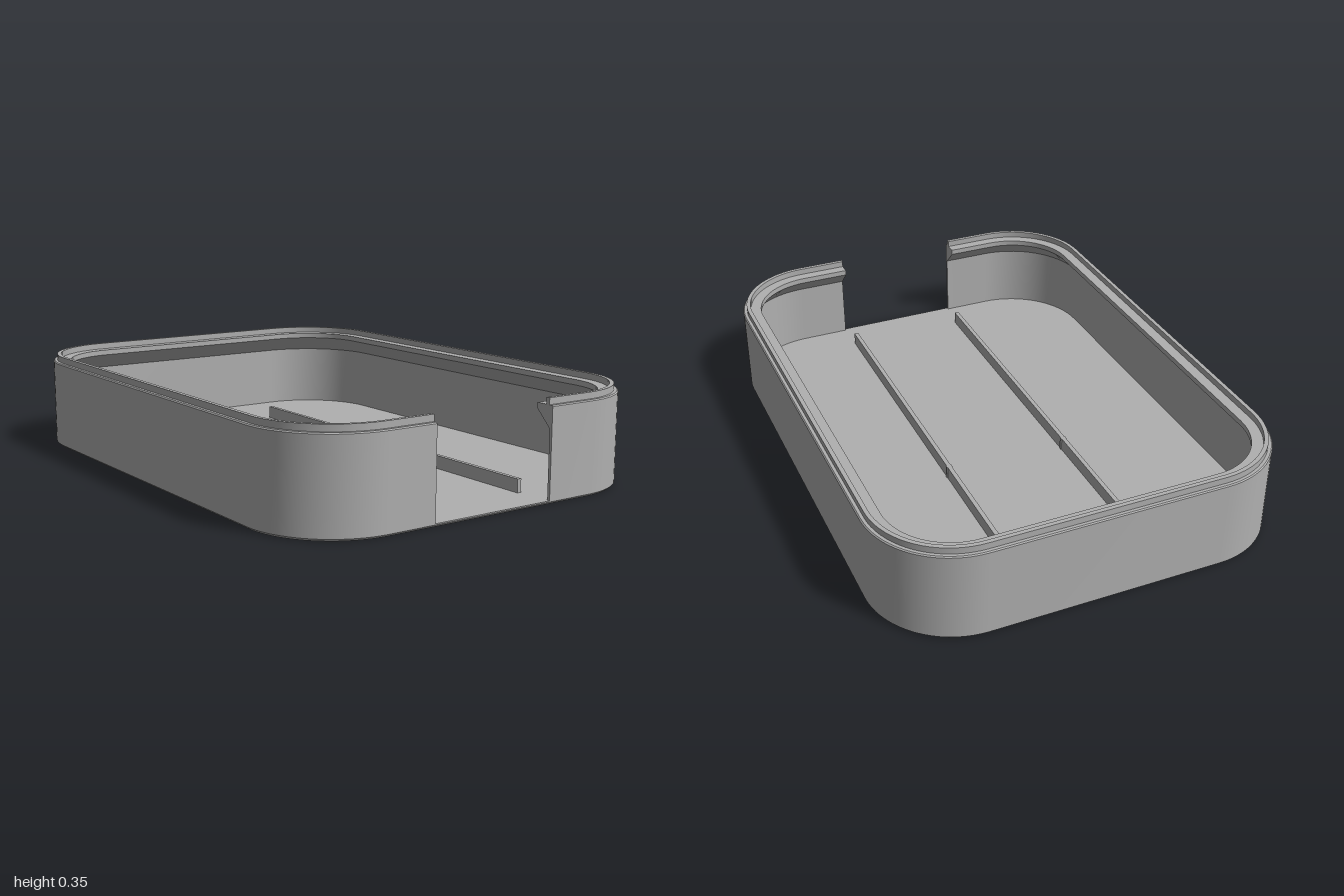
import * as THREE from 'three';
import { toCreasedNormals } from 'three/addons/utils/BufferGeometryUtils.js';

const HALF_W = 0.73, HALF_D = 1, RADIUS = 0.31, GAP = 0.24, FLOOR = 0.012;

// Rounded-rectangle path, starting and ending at the front opening
function outline(inset, y, gap) {
  const cx = HALF_W - RADIUS, cz = HALF_D - RADIUS, r = RADIUS - inset, steps = 18;
  const pts = [new THREE.Vector3(gap, y, HALF_D - inset)];
  [[cx, cz], [cx, -cz], [-cx, -cz], [-cx, cz]].forEach(([x, z], k) => {
    for (let i = 0; i <= steps; i++) {
      const a = (1 - k - i / steps) * Math.PI / 2;
      pts.push(new THREE.Vector3(x + r * Math.cos(a), y, z + r * Math.sin(a)));
    }
  });
  pts.push(new THREE.Vector3(-gap, y, HALF_D - inset));
  return pts;
}

// Skin consecutive rings; optionally close both ends with the profile's triangles
function skin(rings, capFaces = []) {
  const n = rings[0].length, index = [], pts = rings.flat();
  const tri = (a, b, c) => {
    const same = (i, j) => pts[i].distanceTo(pts[j]) < 1e-6;
    if (!same(a, b) && !same(b, c) && !same(c, a)) index.push(a, b, c);
  };
  for (let i = 0; i < rings.length - 1; i++) {
    for (let j = 0; j < n - 1; j++) {
      const a = i * n + j, d = a + n;
      tri(a, a + 1, d + 1);
      tri(a, d + 1, d);
    }
  }
  for (const [a, b, c] of capFaces) {
    tri(a * n, b * n, c * n);
    tri(a * n + n - 1, c * n + n - 1, b * n + n - 1);
  }
  const geo = new THREE.BufferGeometry().setFromPoints(pts);
  geo.setIndex(index);
  return toCreasedNormals(geo, 0.5);
}

export function createModel() {
  const model = new THREE.Group();
  model.name = 'openTray';
  const grey = new THREE.MeshStandardMaterial({ color: 0xb0b0b0 });
  grey.name = 'grey';
  const add = (name, geo) => {
    const mesh = new THREE.Mesh(geo, grey);
    mesh.name = name;
    model.add(mesh);
    return mesh;
  };

  // Floor plate with a chamfered lower edge
  const centre = y => outline(0, y, 0).map(() => new THREE.Vector3(0, y, 0));
  add('floor', skin([
    centre(0), outline(0.008, 0, 0), outline(0, 0.008, 0), outline(0, FLOOR, 0), centre(FLOOR),
  ]));

  // Thin wall, raised lip, inner shelf and sloped underside: [inset, height]
  const profile = [
    [0, FLOOR], [0, 0.326], [0.004, 0.33], [0.015, 0.33], [0.015, 0.353], [0.03, 0.353],
    [0.03, 0.33], [0.07, 0.33], [0.07, 0.31], [0.011, 0.251], [0.011, FLOOR],
  ];
  const caps = THREE.ShapeUtils.triangulateShape(
    profile.map(([d, y]) => new THREE.Vector2(-d, y)), []);
  add('wall', skin(profile.map(([d, y]) => outline(d, y, GAP)), caps));

  // Two long rails on the floor, each with a small joint
  for (const [side, label] of [[1, 'left'], [-1, 'right']]) {
    const bar = (name, width, z0, z1) => {
      add(label + name, new THREE.BoxGeometry(width, 0.048, z1 - z0))
        .position.set(side * 0.231, FLOOR + 0.024, (z0 + z1) / 2);
    };
    bar('Rail', 0.016, -0.69, 0.865);
    bar('RailJoint', 0.021, -0.198, -0.186);
  }
  return model;
}
